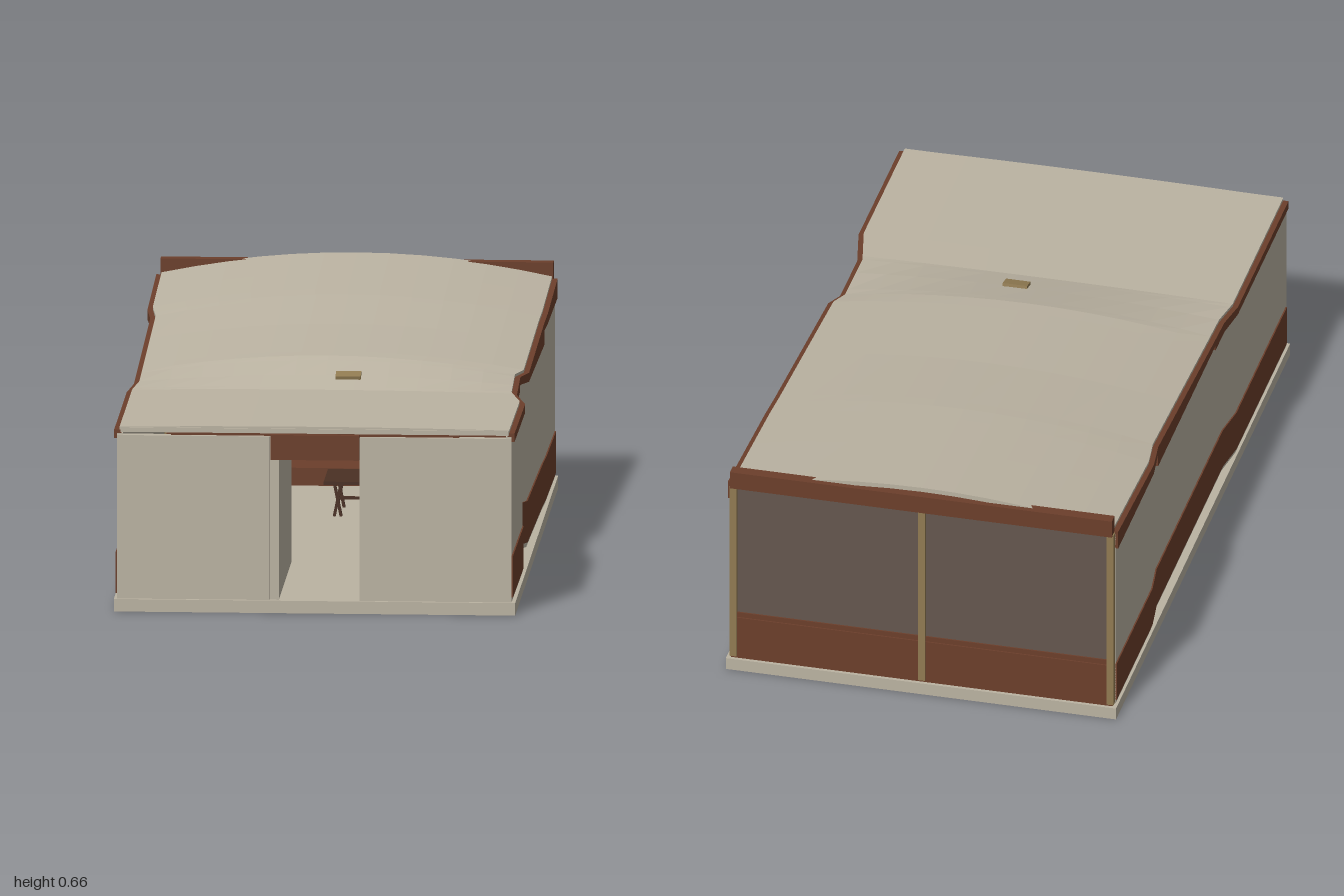
import * as THREE from 'three';

const mat = (name, color) => {
  const m = new THREE.MeshStandardMaterial({ color });
  m.name = name;
  return m;
};

// Piecewise-linear lookup in a table of [z, value], z descending
function at(table, z) {
  if (z >= table[0][0]) return table[0][1];
  for (let i = 1; i < table.length; i++) {
    const [z0, v0] = table[i - 1], [z1, v1] = table[i];
    if (z >= z1) return v0 + (v1 - v0) * (z0 - z) / (z0 - z1);
  }
  return table[table.length - 1][1];
}

// Flat-faced solid through rings (front to back); each ring is top left-to-right, then bottom right-to-left
function loft(rings) {
  const pos = [];
  const quad = (a, b, c, d) => pos.push(...a, ...b, ...c, ...a, ...c, ...d);
  const n = rings[0].length;
  for (let k = 0; k < rings.length - 1; k++)
    for (let i = 0; i < n; i++) {
      const j = (i + 1) % n;
      quad(rings[k][i], rings[k][j], rings[k + 1][j], rings[k + 1][i]);
    }
  const f = rings[0], b = rings[rings.length - 1];
  for (let i = 0; i < n / 2 - 1; i++) {
    quad(f[i], f[n - 1 - i], f[n - 2 - i], f[i + 1]);
    quad(b[i], b[i + 1], b[n - 2 - i], b[n - 1 - i]);
  }
  const g = new THREE.BufferGeometry();
  g.setAttribute('position', new THREE.Float32BufferAttribute(pos, 3));
  g.computeVertexNormals();
  return g;
}

// Plan of each side wall: distance from the centre line along z
const plan = {
  1: [[0.98, 0.546], [0.52, 0.548], [0.38, 0.517], [0.17, 0.514], [0.12, 0.535], [-0.46, 0.543], [-0.565, 0.546], [-0.975, 0.549]],
  [-1]: [[0.98, 0.549], [0.4, 0.549], [0.3, 0.535], [-0.46, 0.535], [-0.56, 0.549], [-0.975, 0.549]],
};
// Roof heights at the eaves and along the middle
const eave = [[0.4, 0.517], [0.17, 0.53], [-0.975, 0.602]];
const ridge = [[0.4, 0.522], [0.17, 0.577], [-0.2, 0.6], [-0.5, 0.629], [-0.98, 0.66]];
// Stepped underside of the eave boards
const boardBottom = [[0.2, 0.485], [0.199, 0.5], [-0.46, 0.5], [-0.461, 0.54]];

const stations = [0.98, 0.75, 0.52, 0.4, 0.38, 0.3, 0.2, 0.199, 0.17, 0.12, -0.2, -0.46, -0.461, -0.5, -0.565, -0.75, -0.975];

// Strip that follows the plan of one side wall
function sideStrip(side, out, thick, bottom, top) {
  return loft(stations.map((z) => {
    const o = at(plan[side], z) + out;
    const x0 = Math.min(side * o, side * (o - thick)), x1 = x0 + thick;
    const t = top(z), b = bottom(z);
    return [[x0, t, z], [x1, t, z], [x1, b, z], [x0, b, z]];
  }));
}

export function createModel() {
  const model = new THREE.Group();
  const plaster = mat('beige plaster', 0xbbb3a2);
  const brown = mat('brown timber', 0x6c3f2b);
  const tan = mat('tan wood', 0x917b52);
  const glass = mat('smoked glass', 0x65574e);
  const dark = mat('dark table wood', 0x4a3024);

  const add = (name, geo, material, parent = model) => {
    const m = new THREE.Mesh(geo, material);
    m.name = name;
    parent.add(m);
    return m;
  };
  // Box from its limits
  const box = (name, material, x0, x1, y0, y1, z0, z1, parent) => {
    const m = add(name, new THREE.BoxGeometry(x1 - x0, y1 - y0, z1 - z0), material, parent);
    m.position.set((x0 + x1) / 2, (y0 + y1) / 2, (z0 + z1) / 2);
    return m;
  };

  box('floorSlab', plaster, -0.557, 0.557, 0, 0.035, -1, 1);

  // Side walls with plinth bands and eave boards
  for (const side of [1, -1]) {
    const s = side > 0 ? 'left' : 'right';
    add(s + 'Wall', sideStrip(side, 0, 0.016, () => 0.035, (z) => at(eave, z) - 0.018), plaster);
    add(s + 'PlinthBand', sideStrip(side, 0.004, 0.01, () => 0.048, () => 0.165), brown);
    add(s + 'EaveBoard', sideStrip(side, 0.008, 0.02, (z) => at(boardBottom, z), (z) => at(eave, z) - 0.008), brown);
  }

  // Front wall around the doorway
  box('frontWallRight', plaster, -0.549, -0.125, 0.035, 0.495, 0.965, 0.99);
  box('frontWallLeft', plaster, 0.125, 0.546, 0.035, 0.495, 0.965, 0.99);
  box('doorHeader', brown, -0.123, 0.123, 0.43, 0.5, 0.967, 0.993);
  box('frontTopBeam', brown, -0.4, 0.4, 0.495, 0.506, 0.96, 0.978);
  box('corridorWall', plaster, -0.125, -0.1, 0.035, 0.495, 0.4, 0.985);

  // Gently arched roof shell
  const across = 12;
  add('roof', loft([...stations.slice(0, -1), -0.984].map((z) => {
    const l = -at(plan[-1], z) + 0.007, r = at(plan[1], z) - 0.007;
    const e = at(eave, z), c = at(ridge, z);
    const top = [], under = [];
    for (let i = 0; i <= across; i++) {
      const u = (i / across) * 2 - 1;
      const x = l + (r - l) * i / across, y = e + (c - e) * (1 - u * u);
      top.push([x, y, z]);
      under.unshift([x, y - 0.013, z]);
    }
    return [...top, ...under];
  })), plaster);
  box('roofFrontTrim', plaster, -0.54, 0.538, 0.503, 0.516, 0.97, 0.984);
  const hatch = box('roofVent', tan, 0.018, 0.088, 0.538, 0.552, 0.29, 0.33);
  hatch.rotation.x = 0.22;

  // Glazed back wall
  box('backFascia', brown, -0.545, 0.545, 0.588, 0.64, -1, -0.968);
  box('backPlinth', brown, -0.545, 0.545, 0.035, 0.165, -0.99, -0.97);
  box('backSill', brown, -0.54, 0.54, 0.165, 0.18, -0.986, -0.95);
  box('backWindow', glass, -0.54, 0.54, 0.165, 0.59, -0.982, -0.974);
  for (const x of [-0.538, 0, 0.538])
    box('windowPost', tan, x - 0.01, x + 0.01, 0.04, 0.59, -0.993, -0.965);

  // Low bench below the window
  box('benchSeat', brown, -0.5, 0.5, 0.035, 0.085, -0.95, -0.8);
  box('benchBack', brown, -0.5, 0.5, 0.085, 0.188, -0.95, -0.925);

  // Table with crossed legs
  const table = new THREE.Group();
  table.name = 'table';
  model.add(table);
  box('tableTop', dark, -0.052, 0.105, 0.128, 0.137, -0.5, -0.3, table);
  for (const z of [-0.47, -0.33])
    for (const x of [-0.015, 0.068])
      for (const tilt of [-1, 1]) {
        const leg = box('tableLeg', dark, x - 0.004, x + 0.004, 0.034, 0.13, z - 0.005, z + 0.005, table);
        leg.rotation.z = tilt * 0.2;
      }
  box('tableStretcher', dark, -0.015, 0.068, 0.07, 0.078, -0.404, -0.396, table);

  return model;
}
